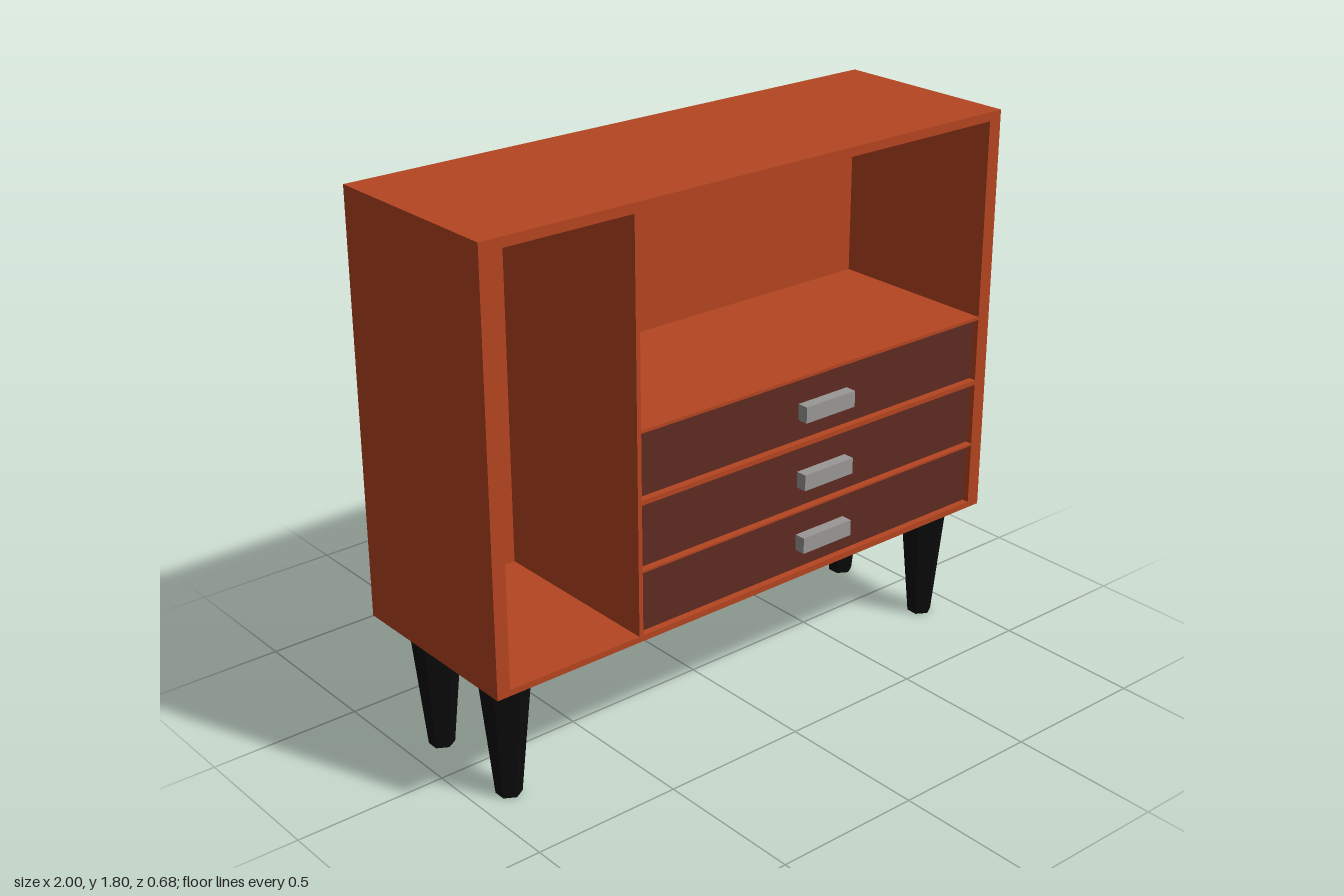
import * as THREE from 'three';

export function createModel() {
  const model = new THREE.Group();
  model.name = 'sideboard';

  const material = (name, color) => {
    const m = new THREE.MeshStandardMaterial({ color });
    m.name = name;
    return m;
  };
  const wood = material('orange wood', 0xb54520);
  const darkWood = material('dark wood', 0x5f2a22);
  const metal = material('grey metal', 0x999896);
  const black = material('black', 0x0c0c0c);

  const add = (name, geometry, mat, x = 0, y = 0, z = 0) => {
    const mesh = new THREE.Mesh(geometry, mat);
    mesh.name = name;
    mesh.position.set(x, y, z);
    model.add(mesh);
    return mesh;
  };
  // Box given by its limits on each axis
  const box = (name, mat, x0, x1, y0, y1, z0, z1) =>
    add(name, new THREE.BoxGeometry(x1 - x0, y1 - y0, z1 - z0), mat,
      (x0 + x1) / 2, (y0 + y1) / 2, (z0 + z1) / 2);
  const trace = (path, x0, x1, y0, y1) => {
    path.moveTo(x0, y0);
    path.lineTo(x1, y0);
    path.lineTo(x1, y1);
    path.lineTo(x0, y1);
    path.closePath();
    return path;
  };

  // Cabinet carcass: one slab with openings for the compartments and drawers
  const front = 0.32, back = -0.34, inner = -0.32;
  const drawerRows = [[0.44, 0.65], [0.657, 0.872], [0.888, 1.102]];
  const outline = trace(new THREE.Shape(), -1, 1, 0.42, 1.8);
  outline.holes.push(
    trace(new THREE.Path(), -0.955, -0.48, 0.44, 1.768),
    trace(new THREE.Path(), -0.465, 0.952, 1.112, 1.77),
    ...drawerRows.map(([y0, y1]) => trace(new THREE.Path(), -0.465, 0.952, y0, y1))
  );
  add('carcass', new THREE.ExtrudeGeometry(outline, { depth: front - inner, bevelEnabled: false }),
    wood, 0, 0, inner);
  box('backPanel', wood, -1, 1, 0.42, 1.8, back, inner);
  box('shelfBackPanel', wood, -0.465, 0.952, 1.112, 1.77, inner, -0.29);

  // Slightly recessed drawers with bar handles
  for (const [y0, y1] of drawerRows) {
    box('drawer', darkWood, -0.455, 0.948, y0 + 0.004, y1 - 0.004, -0.28, 0.302);
    const mid = (y0 + y1) / 2 - 0.008;
    box('drawerHandle', metal, 0.17, 0.375, mid - 0.027, mid + 0.027, 0.302, 0.34);
  }

  // Tapered six-sided legs with wooden soles
  const legGeometry = new THREE.CylinderGeometry(0.082, 0.041, 0.42, 6).toNonIndexed();
  legGeometry.computeVertexNormals();
  const legs = [[-0.885, 0.19], [0.875, 0.19], [-0.885, -0.17], [0.875, -0.207]];
  for (const [x, z] of legs) add('leg', legGeometry, [black, black, wood], x, 0.21, z);

  return model;
}
